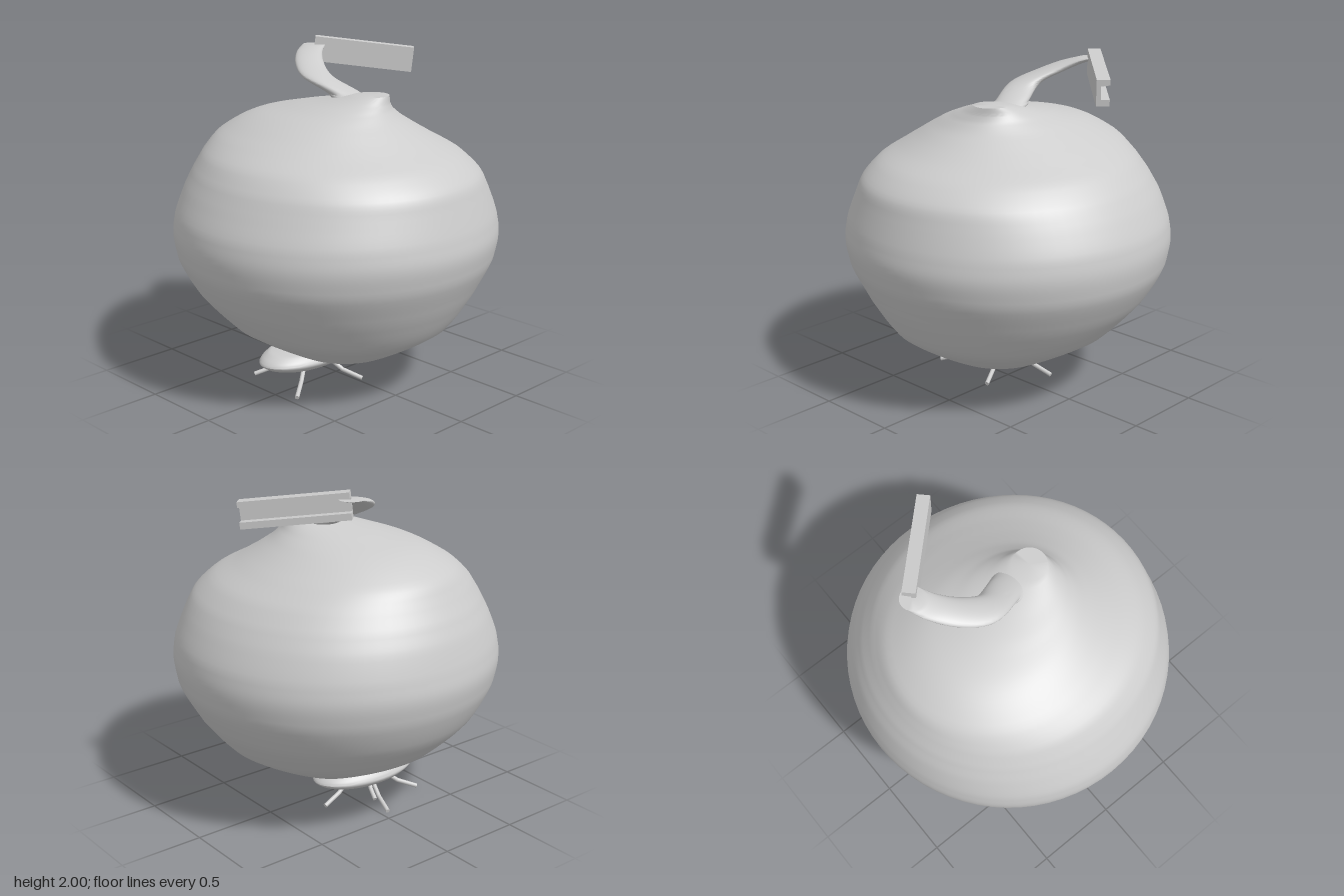
import * as THREE from 'three';
import { toCreasedNormals } from 'three/addons/utils/BufferGeometryUtils.js';

// Smooth loft through horizontal elliptical rings [y, cx, cz, rx, rz], listed bottom to top
function loft(rings, steps, sides) {
  const centres = new THREE.CatmullRomCurve3(rings.map(r => new THREE.Vector3(r[1], r[0], r[2])));
  const radii = new THREE.CatmullRomCurve3(rings.map(r => new THREE.Vector3(r[3], 0, r[4])));
  const pos = [], index = [];
  for (let i = 0; i <= steps; i++) {
    const c = centres.getPoint(i / steps), r = radii.getPoint(i / steps);
    for (let j = 0; j < sides; j++) {
      const a = j / sides * Math.PI * 2;
      pos.push(c.x + r.x * Math.cos(a), c.y, c.z + r.z * Math.sin(a));
    }
  }
  for (let i = 0; i < steps; i++) {
    for (let j = 0; j < sides; j++) {
      const k = (j + 1) % sides;
      const a = i * sides + j, b = i * sides + k, c = a + sides, d = b + sides;
      index.push(a, c, b, b, c, d);
    }
  }
  // End caps
  const first = rings[0], last = rings[rings.length - 1];
  const bottom = pos.length / 3, top = bottom + 1;
  pos.push(first[1], first[0], first[2], last[1], last[0], last[2]);
  for (let j = 0; j < sides; j++) {
    const k = (j + 1) % sides;
    index.push(bottom, j, k, top, steps * sides + k, steps * sides + j);
  }
  const g = new THREE.BufferGeometry();
  g.setAttribute('position', new THREE.Float32BufferAttribute(pos, 3));
  g.setIndex(index);
  return toCreasedNormals(g, 0.6);
}

export function createModel() {
  const group = new THREE.Group();
  const grey = new THREE.MeshStandardMaterial({ color: 0xcccccc });
  grey.name = 'lightGrey';
  const add = (name, geometry, parent = group) => {
    const mesh = new THREE.Mesh(geometry, grey);
    mesh.name = name;
    parent.add(mesh);
    return mesh;
  };

  // Bulbous body with an off-centre neck
  add('body', loft([
    [0.165, 0, 0.055, 0.22, 0.23],
    [0.2, 0, 0.06, 0.31, 0.32],
    [0.4, 0, 0.04, 0.655, 0.672],
    [0.6, 0, 0.003, 0.83, 0.838],
    [0.8, 0, 0, 0.94, 0.935],
    [0.94, 0, 0, 0.96, 0.96],
    [1.05, 0, 0, 0.945, 0.945],
    [1.2, 0, 0, 0.878, 0.903],
    [1.3, -0.005, 0.005, 0.82, 0.863],
    [1.4, -0.015, -0.02, 0.735, 0.78],
    [1.5, -0.025, -0.075, 0.59, 0.655],
    [1.6, -0.025, -0.06, 0.415, 0.49],
    [1.66, 0, 0.027, 0.28, 0.338],
    [1.7, 0.035, 0.12, 0.185, 0.215],
    [1.74, 0.077, 0.215, 0.1, 0.1],
  ], 70, 72));

  // Sheared curling stem
  add('stem', loft([
    [1.69, 0.06, 0.08, 0.095, 0.095],
    [1.73, 0.05, 0.02, 0.095, 0.095],
    [1.81, 0, -0.15, 0.09, 0.09],
    [1.87, 0.065, -0.29, 0.085, 0.085],
    [1.92, 0.155, -0.385, 0.077, 0.077],
    [1.95, 0.245, -0.44, 0.07, 0.07],
  ], 30, 32));

  // Grooved bar on the stem tip: a C profile extruded along its length
  const length = 0.605;
  const profile = new THREE.Shape([
    [-0.037, -0.075], [0.037, -0.075], [0.037, -0.043], [-0.012, -0.037],
    [-0.012, 0.037], [0.037, 0.037], [0.037, 0.075], [-0.037, 0.075],
  ].map(p => new THREE.Vector2(...p)));
  const barGeometry = new THREE.ExtrudeGeometry(profile, { depth: length, bevelEnabled: false });
  barGeometry.translate(0, 0, -length / 2);
  const bar = add('groovedBar', barGeometry);
  const along = new THREE.Vector3(-0.435, 0.07, -0.435).normalize();
  const side = new THREE.Vector3(1, 0, -1).normalize();
  const up = new THREE.Vector3().crossVectors(along, side);
  bar.quaternion.setFromRotationMatrix(new THREE.Matrix4().makeBasis(side, up, along));
  bar.position.set(0.47, 1.89, -0.24);

  // Flattened oval base underneath
  const cx = -0.135, cz = -0.1;
  const base = [[0.08, 0.5], [0.092, 0.72], [0.115, 0.9], [0.145, 1], [0.17, 0.95], [0.2, 0.8], [0.207, 0.62]];
  add('base', loft(base.map(([y, s]) => [y, cx, cz, 0.36 * s, 0.198 * s]), 24, 48));

  // Thin bent legs spreading from the base
  const legs = new THREE.Group();
  legs.name = 'legs';
  group.add(legs);
  const feet = [[-0.455, 0.14], [-0.4, -0.3], [0.02, 0.205], [-0.04, -0.445], [0.21, -0.16], [-0.08, -0.28]];
  for (const [x, z] of feet) {
    const at = (s, y) => new THREE.Vector3(cx + (x - cx) * s, y, cz + (z - cz) * s);
    const points = [at(0.45, 0.1), at(0.64, 0.055), at(1, 0.015)];
    for (let i = 0; i < 2; i++) {
      const d = points[i + 1].clone().sub(points[i]);
      const segment = add('legSegment', new THREE.CylinderGeometry(0.013, 0.013, d.length(), 12), legs);
      segment.position.copy(points[i]).addScaledVector(d, 0.5);
      segment.quaternion.setFromUnitVectors(new THREE.Vector3(0, 1, 0), d.normalize());
    }
    const knee = add('knee', new THREE.SphereGeometry(0.013, 12, 8), legs);
    knee.position.copy(points[1]);
  }
  return group;
}
